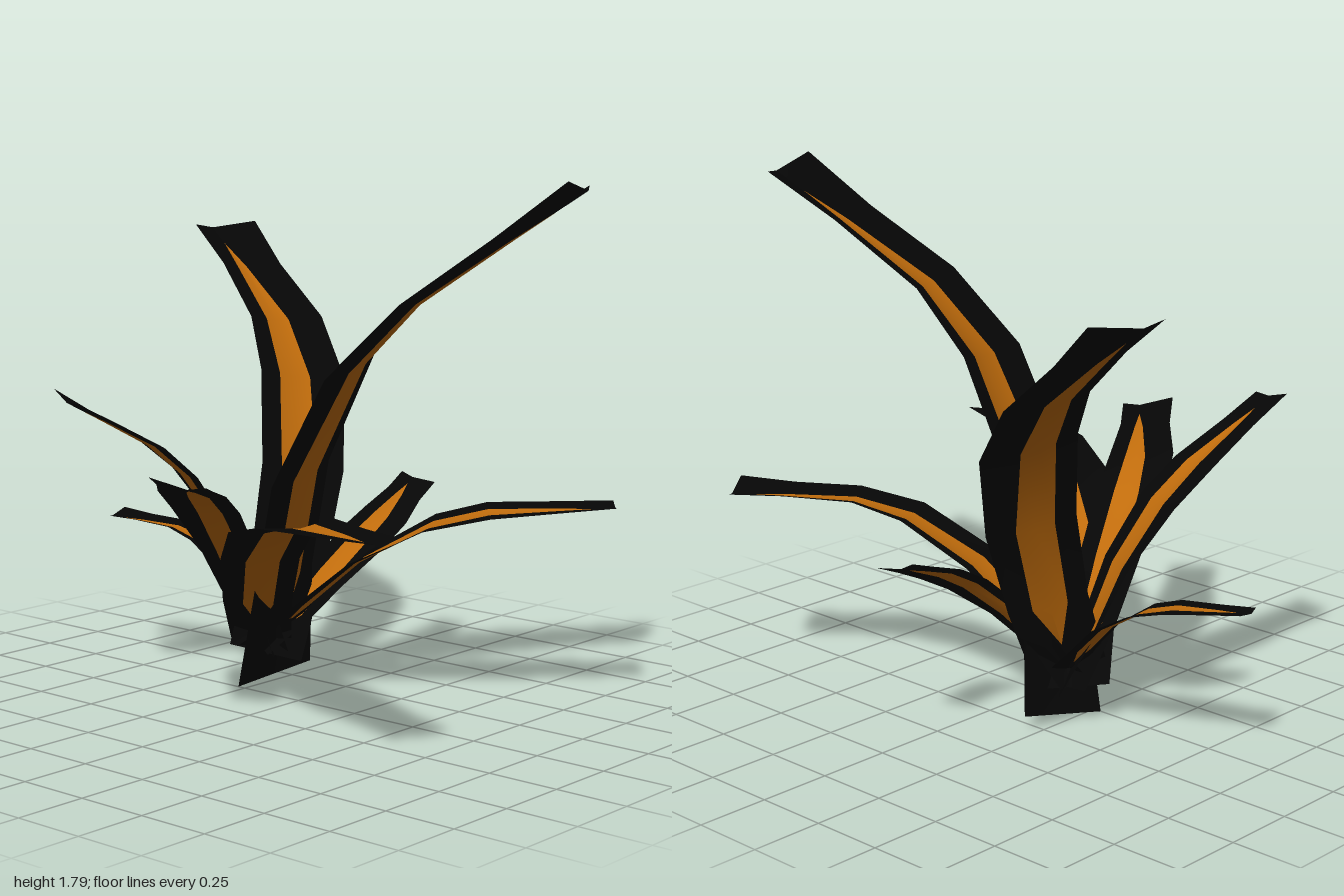
import * as THREE from 'three';

const V = (a) => new THREE.Vector3(...a);

// Main leaf cross-sections from base to tip: left edge, right edge,
// crease position across the blade, half-width of the stripe, crease depth
const SECTIONS = [
  { l: [-0.21, 0.06, -0.30], r: [-0.28, 0.01, 0.00], crease: 0.50, stripe: 0.00, fold: 0.00 },
  { l: [-0.13, 0.44, -0.22], r: [-0.10, 0.40, 0.11], crease: 0.48, stripe: 0.22, fold: 0.02 },
  { l: [-0.02, 0.82, -0.18], r: [0.05, 0.78, 0.19], crease: 0.46, stripe: 0.215, fold: 0.02 },
  { l: [0.18, 1.20, -0.18], r: [0.30, 1.16, 0.215], crease: 0.41, stripe: 0.18, fold: 0.02 },
  { l: [0.37, 1.41, -0.21], r: [0.54, 1.41, 0.135], crease: 0.38, stripe: 0.155, fold: 0.02 },
  { l: [0.66, 1.62, -0.31], r: [0.78, 1.62, -0.03], crease: 0.34, stripe: 0.08, fold: 0.02 },
  { l: [0.87, 1.775, -0.42], r: [0.99, 1.80, -0.13], crease: 0.30, stripe: 0.00, fold: 0.02 },
];

// Each leaf is the same blade, placed by its base and its two tip corners
const LEAVES = [
  { name: 'tallRightLeaf', base: [-0.245, 0.035, -0.15], l: [0.87, 1.775, -0.42], r: [0.99, 1.80, -0.13] },
  { name: 'tallBackLeaf', base: [-0.215, 0.13, -0.07], l: [-1.00, 1.565, -0.55], r: [-0.93, 1.58, -0.80] },
  { name: 'backRightLeaf', base: [-0.26, 0.15, -0.08], l: [0.81, 0.712, -0.70], r: [0.92, 0.712, -0.53] },
  { name: 'smallBackLeaf', base: [-0.24, 0.15, -0.07], l: [-0.16, 0.695, -0.76], r: [-0.04, 0.66, -0.79] },
  { name: 'frontRightLeaf', base: [-0.29, 0.14, -0.13], l: [0.87, 0.765, 0.53], r: [0.79, 0.785, 0.75] },
  { name: 'frontLeaf', base: [-0.25, 0.13, -0.14], l: [0.23, 0.86, 0.69], r: [0.09, 0.90, 0.80] },
  { name: 'frontLeftLeaf', base: [-0.22, 0.12, -0.13], l: [-0.46, 1.05, 0.58], r: [-0.63, 1.085, 0.53] },
  { name: 'smallLeftLeaf', base: [-0.20, 0.16, -0.10], l: [-0.93, 0.54, 0.00], r: [-0.96, 0.55, -0.12] },
];

// Frame running from base to tip, scaled by the leaf length
function leafFrame({ base, l, r }) {
  const origin = V(base);
  const along = V(l).add(V(r)).multiplyScalar(0.5).sub(origin);
  const size = along.length();
  along.normalize();
  const across = V(r).sub(V(l));
  across.addScaledVector(along, -across.dot(along)).normalize();
  const normal = along.clone().cross(across);
  return new THREE.Matrix4().makeBasis(along, across, normal)
    .scale(new THREE.Vector3(size, size, size)).setPosition(origin);
}

// Creased blade: five columns, the middle two strips form the stripe
function bladeGeometry() {
  const rows = [0, 0.5, 1, 2, 3, 4, 5, 5.6, 6];
  const positions = [];
  for (const t of rows) {
    const i = Math.min(Math.floor(t), 5), k = t - i;
    const p = SECTIONS[i], q = SECTIONS[i + 1];
    const mix = (key) => THREE.MathUtils.lerp(p[key], q[key], k);
    const left = V(p.l).lerp(V(q.l), k);
    const right = V(p.r).lerp(V(q.r), k);
    const c = mix('crease'), fold = mix('fold');
    // the stripe starts above the base and ends short of the tip
    const h = t <= 0.5 || t > 5.5 ? 0 : mix('stripe');
    const mid = left.clone().lerp(right, c).add(new THREE.Vector3(fold, -fold, 0));
    const a = mid.clone().lerp(left, h / c);
    const b = mid.clone().lerp(right, h / (1 - c));
    for (const v of [left, a, mid, b, right]) positions.push(v.x, v.y, v.z);
  }
  const index = [];
  const geometry = new THREE.BufferGeometry();
  [[0, 3], [1, 2]].forEach((columns, material) => {
    const start = index.length;
    for (const col of columns) {
      for (let row = 0; row < rows.length - 1; row++) {
        const n = row * 5 + col;
        index.push(n, n + 1, n + 6, n, n + 6, n + 5);
      }
    }
    geometry.addGroup(start, index.length - start, material);
  });
  geometry.setAttribute('position', new THREE.Float32BufferAttribute(positions, 3));
  geometry.setIndex(index);
  geometry.computeVertexNormals();
  return geometry;
}

export function createModel() {
  const plant = new THREE.Group();
  plant.name = 'plant';
  const black = new THREE.MeshStandardMaterial({ color: 0x060606, side: THREE.DoubleSide });
  black.name = 'black blade';
  const orange = new THREE.MeshStandardMaterial({ color: 0xc06c0c, side: THREE.DoubleSide });
  orange.name = 'orange stripe';

  const blade = bladeGeometry();
  const toLocal = leafFrame(LEAVES[0]).invert();
  for (const leaf of LEAVES) {
    const matrix = leafFrame(leaf).multiply(toLocal);
    const mesh = new THREE.Mesh(blade.clone().applyMatrix4(matrix), [black, orange]);
    mesh.name = leaf.name;
    plant.add(mesh);
  }
  return plant;
}
